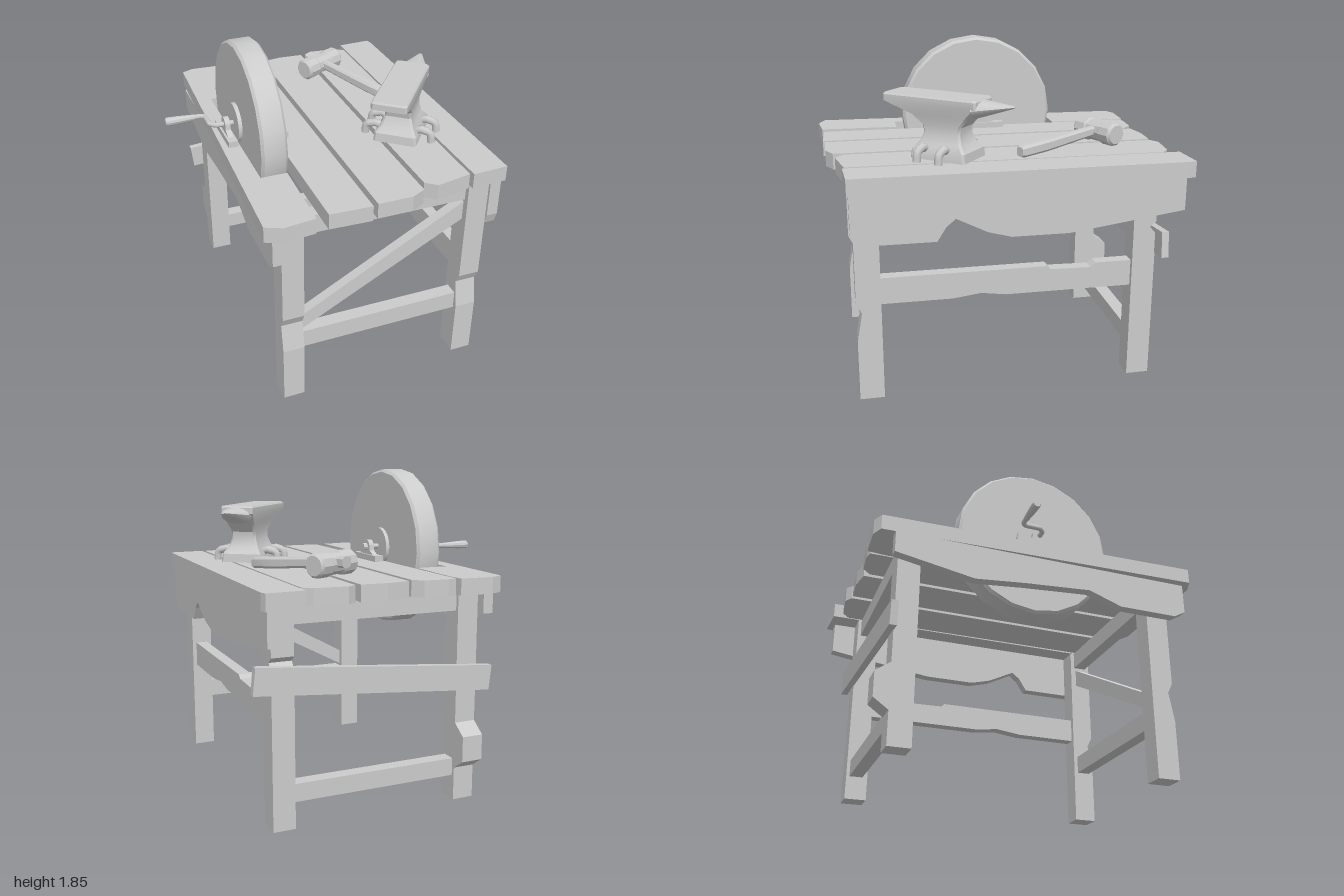
import * as THREE from 'three';
import { toCreasedNormals } from 'three/addons/utils/BufferGeometryUtils.js';

const material = new THREE.MeshStandardMaterial({ color: 0xcccccc });

function add(parent, name, geometry, x = 0, y = 0, z = 0) {
  const mesh = new THREE.Mesh(geometry, material);
  mesh.name = name;
  mesh.position.set(x, y, z);
  parent.add(mesh);
  return mesh;
}

function extrude(points, depth) {
  const shape = new THREE.Shape(points.map(([a, b]) => new THREE.Vector2(a, b)));
  return new THREE.ExtrudeGeometry(shape, { depth, bevelEnabled: false });
}
// outline in x, z; extends downwards from y = 0
const flat = (points, depth) => extrude(points, depth).rotateX(Math.PI / 2);
// outline in z, y; extends towards -x from x = 0
const side = (points, depth) => extrude(points, depth).rotateY(-Math.PI / 2);
const smooth = (geometry, angle = 0.6) => toCreasedNormals(geometry, angle);

// skin over stacked rings of equal point count, with both ends capped
function loft(rings) {
  const n = rings[0].length, pos = rings.flat(2), index = [];
  for (let r = 0; r < rings.length - 1; r++) {
    for (let i = 0; i < n; i++) {
      const a = r * n + i, b = r * n + (i + 1) % n;
      index.push(a, a + n, b, b, a + n, b + n);
    }
  }
  const top = (rings.length - 1) * n;
  for (let i = 1; i < n - 1; i++) {
    index.push(0, i, i + 1, top, top + i + 1, top + i);
  }
  const g = new THREE.BufferGeometry();
  g.setAttribute('position', new THREE.Float32BufferAttribute(pos, 3));
  g.setIndex(index);
  return g;
}

function addTable(model) {
  const table = new THREE.Group();
  table.name = 'table';
  model.add(table);

  // top planks with worn ends; the first is cut out for the wheel
  const planks = [
    [[-0.55, -0.94], [-0.48, -0.97], [-0.29, -0.96], [-0.28, -0.85], [-0.29, -0.49], [-0.48, -0.49],
      [-0.48, 0.51], [-0.33, 0.51], [-0.34, 0.97], [-0.52, 0.99], [-0.61, 0.95]],
    [[-0.27, -0.94], [-0.22, -0.95], [-0.08, -0.94], [-0.03, -0.89], [-0.03, 0.97], [-0.27, 0.96]],
    [[0, -0.92], [0.13, -0.94], [0.28, -0.93], [0.28, 0.92], [0.2, 0.96], [0, 0.96]],
    [[0.31, -0.93], [0.36, -0.96], [0.54, -0.94], [0.59, -0.9], [0.58, 0.87], [0.37, 0.91], [0.31, 0.86]],
    [[0.6, -0.99], [0.81, -1], [0.82, -0.96], [0.81, 0.87], [0.6, 0.88]],
  ];
  planks.forEach((p) => add(table, 'topPlank', flat(p, 0.09), 0, 1.3));

  // legs with chips and a knot
  const front = [[0.71, 0], [0.845, 0], [0.845, 0.35], [0.815, 0.52], [0.845, 0.58], [0.845, 1.21], [0.71, 1.21]];
  const backRight = [[-0.695, 0.01], [-0.825, 0.01], [-0.825, 0.87], [-0.79, 0.91], [-0.825, 0.94],
    [-0.825, 1.21], [-0.695, 1.21]];
  const backLeft = [[-0.695, 0.01], [-0.825, 0.01], [-0.825, 0.2], [-0.91, 0.26], [-0.91, 0.405],
    [-0.825, 0.465], [-0.825, 1.21], [-0.695, 1.21]];
  add(table, 'frontLeg', side(front, 0.125), -0.36);
  add(table, 'frontLeg', side(front, 0.125), 0.725, 0.01).scale.y = 0.99;
  add(table, 'backLeg', side(backRight, 0.125), 0.725);
  add(table, 'backLeg', side(backLeft, 0.125), -0.36);

  // rails between the legs
  const rail = (name, y, h, z) => add(table, name, new THREE.BoxGeometry(0.97, h, 0.08), 0.12, y, z);
  rail('frontTopRail', 1.155, 0.11, 0.775);
  rail('backTopRail', 1.155, 0.11, -0.765);
  rail('frontRail', 0.385, 0.11, 0.775);
  rail('backRail', 0.2, 0.1, -0.765);
  add(table, 'frontBrace',
    extrude([[-0.37, 0.45], [0.61, 0.97], [0.61, 1.085], [-0.37, 0.545]], 0.06), 0, 0, 0.745);
  add(table, 'backBrace',
    extrude([[-0.55, 0.645], [0.835, 0.765], [0.82, 0.91], [-0.565, 0.785]], 0.04), 0, 0, -0.862);
  add(table, 'sideRail', side([[0.72, 0.56], [0.72, 0.71], [-0.21, 0.71], [-0.23, 0.69], [-0.46, 0.685],
    [-0.49, 0.71], [-0.7, 0.71], [-0.7, 0.56], [0.02, 0.56], [0.16, 0.58], [0.32, 0.56]], 0.07), 0.7);

  // broken boards along both sides
  add(table, 'sideBoard', side([[0.86, 1.21], [0.86, 0.99], [0.84, 0.93], [0.41, 0.93], [0.36, 1.01],
    [0.31, 1.05], [0.14, 0.965], [0.01, 0.93], [-0.31, 0.93], [-0.96, 1.02], [-0.96, 1.21]], 0.065), 0.79);
  add(table, 'sideBoard', side([[0.93, 1.21], [0.93, 1.03], [0.86, 0.99], [0.5, 0.99], [0.3, 1.06],
    [-0.1, 1.03], [-0.4, 1], [-0.86, 1.08], [-0.86, 1.21]], 0.06), -0.5);
}

function addGrindstone(model) {
  const grinder = new THREE.Group();
  grinder.name = 'grindstone';
  grinder.position.set(-0.38, 1.38, 0);
  model.add(grinder);

  const turned = (points, sides) => smooth(new THREE.LatheGeometry(
    points.map(([r, h]) => new THREE.Vector2(r, h)), sides).rotateZ(-Math.PI / 2), 0.5);
  add(grinder, 'wheel', turned([[0, -0.075], [0.455, -0.075], [0.47, -0.06], [0.47, 0.06],
    [0.455, 0.075], [0, 0.075]], 20));
  add(grinder, 'hub', turned([[0, -0.097], [0.115, -0.097], [0.115, 0.097], [0, 0.097]], 20));

  // crank
  const v = (x, z) => new THREE.Vector3(x, 0, z);
  const path = new THREE.CurvePath();
  const corners = [v(0.2, 0), v(-0.2, 0), v(-0.23, -0.03), v(-0.23, -0.12), v(-0.25, -0.14), v(-0.32, -0.14)];
  corners.slice(1).forEach((p, i) => path.add(new THREE.LineCurve3(corners[i], p)));
  add(grinder, 'crank', new THREE.TubeGeometry(path, 40, 0.015, 8));
  add(grinder, 'axleCap', turned([[0, -0.015], [0.022, -0.015], [0.022, 0.015], [0, 0.015]], 8), 0.185);
  add(grinder, 'grip', turned([[0, -0.46], [0.02, -0.46], [0.025, -0.45], [0.023, -0.39],
    [0.016, -0.29], [0, -0.29]], 10), 0, 0, -0.14);

  // axle bearings
  for (const x of [-0.14, 0.16]) {
    add(grinder, 'bearingPlate', new THREE.BoxGeometry(0.055, 0.035, 0.29), x, -0.062, 0);
    const arch = new THREE.Shape();
    arch.moveTo(-0.1, -0.05);
    arch.lineTo(-0.045, -0.02);
    arch.absarc(0, 0, 0.042, Math.PI, 0, true);
    arch.lineTo(0.045, -0.02);
    arch.lineTo(0.1, -0.05);
    const g = new THREE.ExtrudeGeometry(arch, { depth: 0.03, bevelEnabled: false, curveSegments: 8 });
    add(grinder, 'bearing', g.rotateY(-Math.PI / 2), x + 0.015);
  }
}

function addAnvil(model) {
  const anvil = new THREE.Group();
  anvil.name = 'anvil';
  anvil.position.set(0.22, 1.3, 0.575);
  anvil.rotation.y = 0.883;
  model.add(anvil);

  // body from chamfered rectangles: height, rear, front, half width
  const sections = [[0, 0.19, 0.53, 0.125], [0.05, 0.195, 0.525, 0.12], [0.09, 0.23, 0.49, 0.092],
    [0.14, 0.25, 0.475, 0.077], [0.18, 0.24, 0.48, 0.076], [0.235, 0.17, 0.525, 0.085],
    [0.295, 0, 0.585, 0.1], [0.33, 0, 0.585, 0.1], [0.34, 0.008, 0.577, 0.092]];
  const c = 0.012;
  const rings = sections.map(([y, a, b, w]) => [[a, w - c], [a + c, w], [b - c, w], [b, w - c],
    [b, c - w], [b - c, -w], [a + c, -w], [a, c - w]].map(([x, z]) => [x, y, z]).reverse());
  add(anvil, 'anvilBody', smooth(loft(rings), 0.55));

  const horn = smooth(new THREE.CylinderGeometry(0.01, 0.1, 0.215, 14).rotateZ(-Math.PI / 2).scale(1, 0.5, 1));
  add(anvil, 'horn', horn, 0.665, 0.298, 0.005).rotation.z = 0.12;

  // hooked clamps at the foot
  for (const x of [0.28, 0.415]) {
    for (const s of [-1, 1]) {
      const hook = new THREE.CatmullRomCurve3([[0.03, 0.08], [0.07, 0.125], [0.065, 0.155], [0.055, 0.185],
        [0, 0.195]].map(([y, z]) => new THREE.Vector3(0, y, z * s)));
      add(anvil, 'clamp', new THREE.TubeGeometry(hook, 10, 0.023, 8), x);
    }
  }
}

function addHammer(model) {
  const hammer = new THREE.Group();
  hammer.name = 'hammer';
  hammer.position.set(0.295, 1.37, -0.61);
  hammer.rotation.y = 0.45;
  model.add(hammer);

  const profile = [[0, -0.15], [0.055, -0.15], [0.068, -0.135], [0.068, -0.06], [0.06, -0.05],
    [0.06, 0.05], [0.068, 0.06], [0.068, 0.135], [0.055, 0.15], [0, 0.15]];
  add(hammer, 'hammerHead', smooth(new THREE.LatheGeometry(
    profile.map(([r, h]) => new THREE.Vector2(r, h)), 10).rotateZ(-Math.PI / 2), 0.5));

  // handle widens and drops towards its end: z, height, half width, half thickness
  const rings = [[-0.1, 0.015, 0.034, 0.03], [-0.03, 0.012, 0.025, 0.028], [0.1, 0, 0.022, 0.028],
    [0.4, -0.027, 0.033, 0.033], [0.57, -0.038, 0.033, 0.032], [0.585, -0.04, 0.026, 0.026]]
    .map(([z, y, w, h]) => [[-w, y - h * 0.6, z], [-w * 0.6, y - h, z], [w * 0.6, y - h, z], [w, y - h * 0.6, z],
      [w, y + h * 0.6, z], [w * 0.6, y + h, z], [-w * 0.6, y + h, z], [-w, y + h * 0.6, z]].reverse());
  add(hammer, 'hammerHandle', smooth(loft(rings)));
}

export function createModel() {
  const model = new THREE.Group();
  model.name = 'smithWorkbench';
  addTable(model);
  addGrindstone(model);
  addAnvil(model);
  addHammer(model);
  return model;
}
